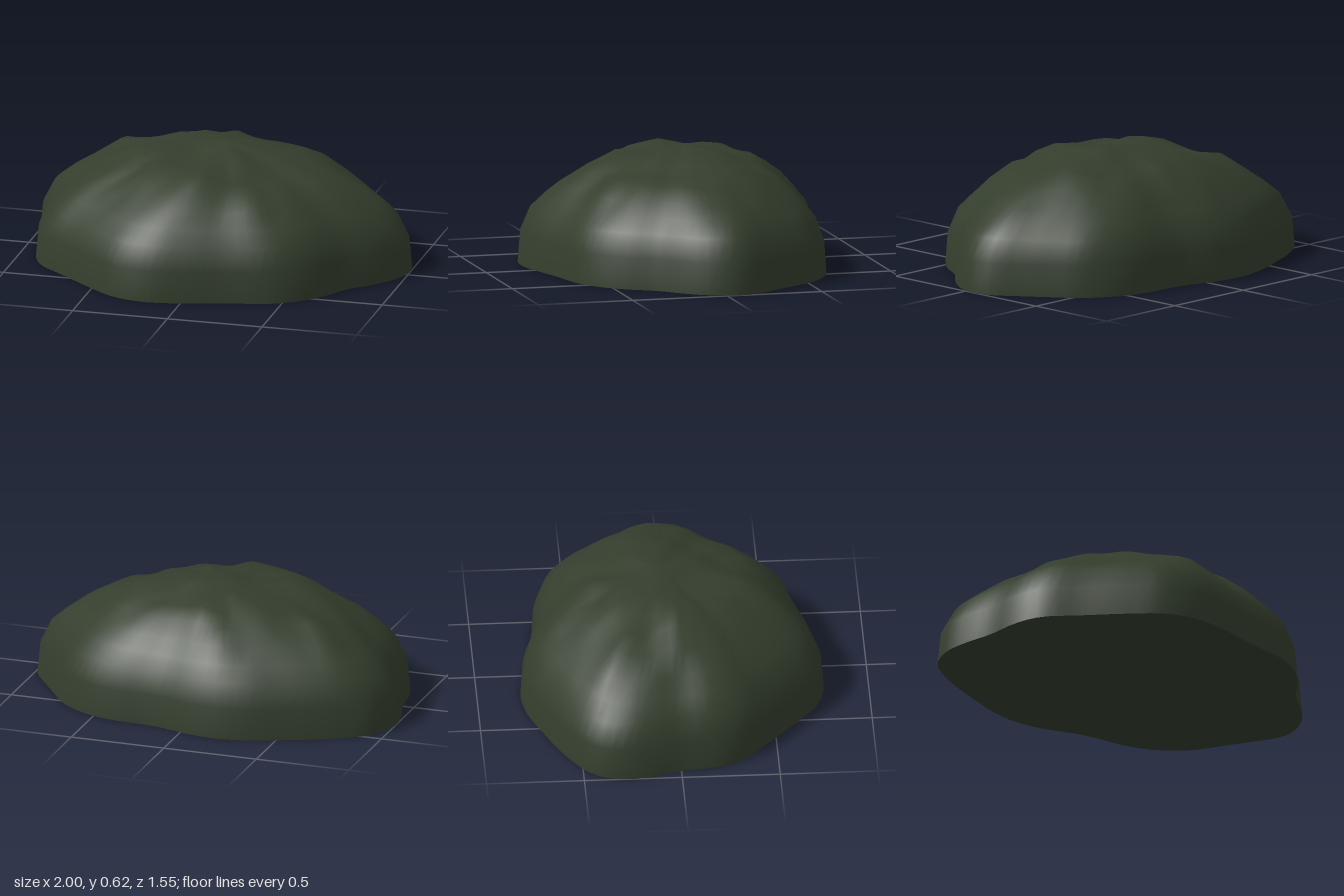
import * as THREE from 'three';

// Lobed footprint of the mound, as [x, z] going from +x towards +z
const FOOTPRINT = [
  [1, -0.08], [0.97, 0.06], [0.88, 0.19], [0.76, 0.31], [0.68, 0.44], [0.58, 0.55],
  [0.45, 0.63], [0.2, 0.69], [0, 0.745], [-0.17, 0.772], [-0.35, 0.735], [-0.5, 0.63],
  [-0.7, 0.46], [-0.85, 0.33], [-0.91, 0.2], [-0.94, 0], [-0.98, -0.14], [-1, -0.29],
  [-0.95, -0.44], [-0.8, -0.56], [-0.5, -0.7], [-0.35, -0.755], [-0.2, -0.777],
  [-0.05, -0.76], [0.15, -0.705], [0.4, -0.685], [0.55, -0.64], [0.7, -0.54],
  [0.8, -0.41], [0.9, -0.27], [0.97, -0.17],
];

// Rings from the rim to the crown: [scale of footprint, height, bumpiness]
const RINGS = [
  [1, 0, 0], [0.985, 0.162, 0], [0.925, 0.28, 0.1], [0.84, 0.352, 0.2], [0.75, 0.42, 0.4],
  [0.62, 0.494, 0.7], [0.49, 0.538, 1], [0.36, 0.568, 1], [0.23, 0.588, 1], [0.11, 0.605, 0.6],
];
const SEGMENTS = 96;
const CROWN = [0.03, 0.622, -0.04];

// Noise in -1..1, linear between the corners of a seeded grid
function hash(i, j) {
  const s = Math.sin(i * 127.1 + j * 311.7 + 4.2) * 43758.5453;
  return (s - Math.floor(s)) * 2 - 1;
}
function noise(x, z) {
  const i = Math.floor(x), j = Math.floor(z);
  const u = x - i, v = z - j;
  const near = THREE.MathUtils.lerp(hash(i, j), hash(i + 1, j), u);
  const far = THREE.MathUtils.lerp(hash(i, j + 1), hash(i + 1, j + 1), u);
  return THREE.MathUtils.lerp(near, far, v);
}

function domeGeometry(rim) {
  const positions = [], index = [];
  for (const [scale, height, bump] of RINGS) {
    for (const p of rim) {
      // Upper rings lean towards the crown
      const x = p.x * scale + CROWN[0] * (1 - scale);
      const z = p.z * scale + CROWN[2] * (1 - scale);
      positions.push(x, height + 0.036 * bump * noise(x * 7, z * 7), z);
    }
  }
  const crown = RINGS.length * SEGMENTS;
  positions.push(...CROWN);

  for (let i = 0; i < RINGS.length; i++) {
    for (let j = 0; j < SEGMENTS; j++) {
      const a = i * SEGMENTS + j, b = i * SEGMENTS + (j + 1) % SEGMENTS;
      if (i === RINGS.length - 1) index.push(a, crown, b);
      else index.push(a, a + SEGMENTS, b, b, a + SEGMENTS, b + SEGMENTS);
    }
  }

  const geometry = new THREE.BufferGeometry();
  geometry.setAttribute('position', new THREE.Float32BufferAttribute(positions, 3));
  geometry.setIndex(index);
  geometry.computeVertexNormals();
  return geometry;
}

export function createModel() {
  const group = new THREE.Group();
  group.name = 'mound';
  const material = new THREE.MeshStandardMaterial({ color: 0x343e2d });

  const curve = new THREE.CatmullRomCurve3(
    FOOTPRINT.map(([x, z]) => new THREE.Vector3(x, 0, z)), true);
  const rim = curve.getSpacedPoints(SEGMENTS).slice(0, SEGMENTS);

  // Bumpy dome
  const dome = new THREE.Mesh(domeGeometry(rim), material);
  dome.name = 'dome';

  // Flat underside, turned to face down
  const outline = new THREE.Shape(rim.map((p) => new THREE.Vector2(p.x, p.z)));
  const underside = new THREE.Mesh(new THREE.ShapeGeometry(outline).rotateX(Math.PI / 2), material);
  underside.name = 'underside';

  group.add(dome, underside);
  return group;
}
